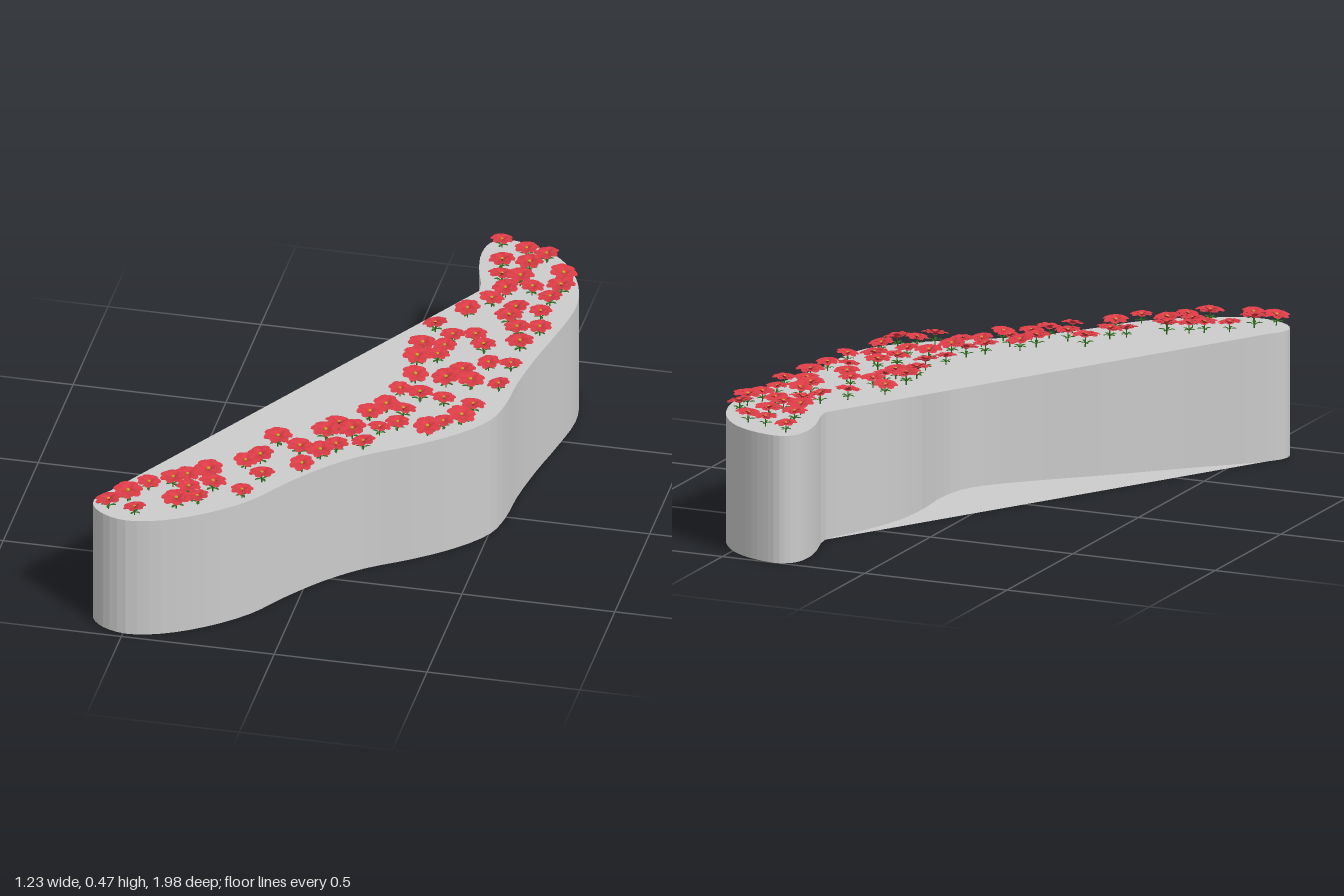
import * as THREE from 'three';
import { mergeGeometries } from 'three/addons/utils/BufferGeometryUtils.js';

const TOP = 0.42;
const material = (color, flatShading = false) =>
  new THREE.MeshStandardMaterial({ color, side: THREE.DoubleSide, flatShading });

// Plan outline (x, z): hooked back end, outer side, front tip
const OUTER = [
  [0.29, -0.67], [0.257, -0.81], [0.245, -0.9], [0.258, -0.97], [0.3, -1], [0.36, -0.995],
  [0.43, -0.97], [0.5, -0.92], [0.56, -0.84], [0.6, -0.74], [0.614, -0.63], [0.592, -0.47],
  [0.56, -0.3], [0.537, -0.13], [0.53, 0], [0.505, 0.11], [0.42, 0.22], [0.3, 0.32],
  [0.16, 0.415], [0.05, 0.52], [-0.05, 0.65], [-0.13, 0.77], [-0.25, 0.88], [-0.38, 0.955],
  [-0.49, 0.98], [-0.57, 0.955], [-0.612, 0.91], [-0.615, 0.865], [-0.58, 0.81],
];
// Concave inner side, running back to the hook
const INNER = [
  [-0.377, 0.62], [-0.17, 0.425], [0.04, 0.235], [0.145, 0.11], [0.175, -0.02],
  [0.168, -0.2], [0.18, -0.35], [0.235, -0.53],
];

// Flower positions (x, z) in hundredths
const FLOWERS = [
  30, -95, 39, -91, 46, -89, 33, -82, 42, -82, 54, -78, 35, -73, 41, -73, 55, -70, 38, -65, 46, -68,
  53, -63, 35, -58, 44, -54, 52, -54, 29, -50, 43, -48, 21, -39, 47, -42, 54, -44, 28, -33, 35, -35,
  50, -33, 39, -29, 20, -25, 27, -26, 26, -20, 20, -17, 43, -19, 50, -20, 36, -12, 22, -6, 32, -6,
  40, -6, 49, -7, 19, 3, 26, 5, 34, 6, 44, 8, 17, 14, 23, 16, 42, 16, 13, 20, 23, 24, 37, 20, 33, 25,
  18, 28, 5, 29, 10, 32, 2, 35, 15, 38, 7, 42, -12, 42, -4, 46, 3, 47, -1, 56, -15, 54, -19, 58,
  -12, 65, -29, 67, -35, 71, -39, 74, -26, 74, -16, 76, -46, 78, -33, 78, -29, 83, -35, 87, -51, 86,
  -56, 92, -47, 94,
];

// Vertical wall following a closed loop of points
function wallGeometry(points) {
  const pos = [];
  points.forEach((a, i) => {
    const b = points[(i + 1) % points.length];
    pos.push(a.x, 0, a.z, a.x, TOP, a.z, b.x, TOP, b.z);
    pos.push(a.x, 0, a.z, b.x, TOP, b.z, b.x, 0, b.z);
  });
  const g = new THREE.BufferGeometry();
  g.setAttribute('position', new THREE.Float32BufferAttribute(pos, 3));
  g.computeVertexNormals();
  return g;
}

// Flat cap; sign +1 faces up, -1 faces down
function capGeometry(points, sign) {
  const shape = new THREE.Shape(points.map(p => new THREE.Vector2(p.x, -sign * p.z)));
  return new THREE.ShapeGeometry(shape).rotateX(-sign * Math.PI / 2);
}

// Cupped blade growing along +z, rising by lift and curling at the tip
function bladeGeometry(length, width, lift, cup) {
  const g = new THREE.PlaneGeometry(2, 1, 4, 5);
  const p = g.attributes.position;
  for (let i = 0; i < p.count; i++) {
    const u = p.getX(i), t = 0.5 - p.getY(i);
    const half = width / 2 * Math.pow(Math.sin(Math.PI * (0.06 + 0.86 * Math.pow(t, 1.3))), 0.7);
    const y = lift * Math.sin(t * Math.PI * 0.62) + cup * u * u * Math.sin(Math.PI * t);
    p.setXYZ(i, u * half, y, t * length);
  }
  g.computeVertexNormals();
  return g;
}

const ring = (blade, count, y, turn = 0) => Array.from({ length: count }, (_, i) =>
  blade.clone().rotateY(turn + i / count * Math.PI * 2).translate(0, y, 0));

export function createModel() {
  const model = new THREE.Group();
  model.name = 'flowerPlanter';
  const add = (parent, name, geometry, mat) => {
    const mesh = new THREE.Mesh(geometry, mat);
    mesh.name = name;
    parent.add(mesh);
    return mesh;
  };

  // Planter: curved wall, with caps that bridge the concave side
  const controls = [...OUTER, ...INNER].map(([x, z]) => new THREE.Vector3(x, 0, z));
  const curve = new THREE.CatmullRomCurve3(controls, true);
  const steps = 3, total = controls.length * steps;
  const loop = Array.from({ length: total }, (_, i) => curve.getPoint(i / total));
  const capPoints = loop.slice(0, (OUTER.length - 1) * steps + 1);
  const grey = material(0xcccccc, true);
  add(model, 'planterWall', wallGeometry(loop), grey);
  add(model, 'planterTop', capGeometry(capPoints, 1), grey).position.y = TOP;
  add(model, 'planterBase', capGeometry(capPoints, -1), grey);

  // Shared flower parts, with the stem foot at the origin
  const petals = mergeGeometries([
    ...ring(bladeGeometry(0.046, 0.036, 0.009, 0.004), 7, 0.032),
    ...ring(bladeGeometry(0.029, 0.024, 0.013, 0.004), 5, 0.034, 0.4),
  ]);
  const heart = new THREE.SphereGeometry(0.0065, 8, 6).scale(1, 0.7, 1).translate(0, 0.041, 0);
  const greenery = mergeGeometries([
    new THREE.CylinderGeometry(0.002, 0.0025, 0.036, 5).translate(0, 0.018, 0),
    ...ring(bladeGeometry(0.026, 0.011, 0.006, 0.002), 4, 0.011, 0.3),
  ]);
  const red = material(0xdc3c46), yellow = material(0xc9a227), green = material(0x2f6b1f);

  // Flowers with seeded variation in turn, tilt and size
  let seed = 7;
  const random = () => (seed = (seed * 16807) % 2147483647) / 2147483647;
  for (let i = 0; i < FLOWERS.length; i += 2) {
    const flower = new THREE.Group();
    flower.name = 'flower';
    flower.position.set(FLOWERS[i] / 100, TOP, FLOWERS[i + 1] / 100);
    flower.scale.setScalar(0.8 + random() * 0.25);
    flower.rotation.y = random() * Math.PI * 2;
    add(flower, 'stemAndLeaves', greenery, green);
    const head = new THREE.Group();
    head.name = 'flowerHead';
    const tilt = (random() - 0.5) * 0.4;
    head.rotation.x = tilt;
    head.position.z = -0.036 * Math.sin(tilt);
    add(head, 'petals', petals, red);
    add(head, 'flowerCentre', heart, yellow);
    flower.add(head);
    model.add(flower);
  }
  return model;
}
